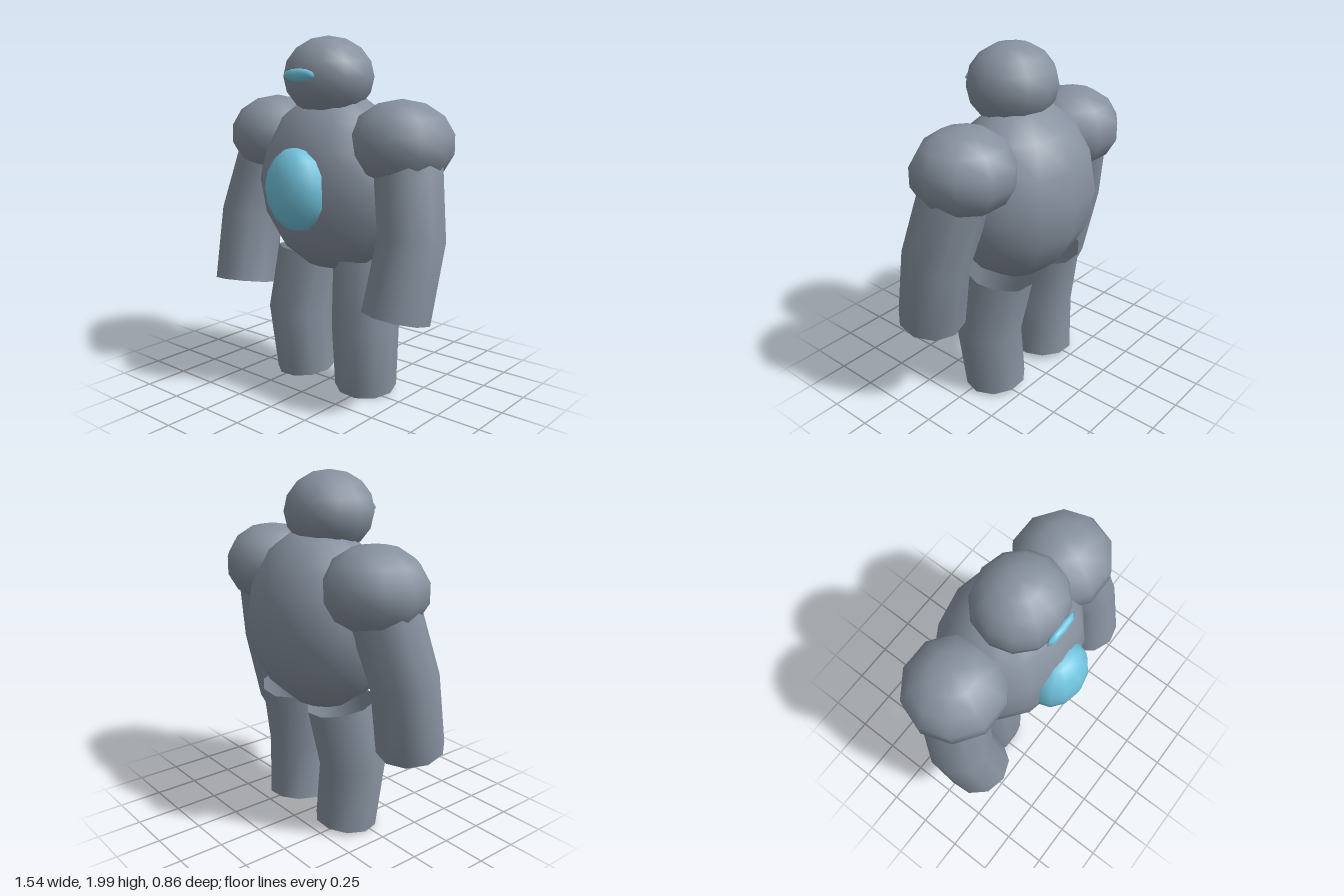
import * as THREE from 'three';

const stone = new THREE.MeshStandardMaterial({ color: 0x87919f, side: THREE.DoubleSide });
stone.name = 'slate grey';
const glow = new THREE.MeshStandardMaterial({ color: 0x72c4de });
glow.name = 'pale cyan';

// Smooth ellipsoid with its radii baked into the vertices
function ellipsoid(name, mat, center, radii, wSeg, hSeg) {
  const geo = new THREE.SphereGeometry(1, wSeg, hSeg).scale(...radii);
  const mesh = new THREE.Mesh(geo, mat);
  mesh.name = name;
  mesh.position.set(...center);
  return mesh;
}

// Open two-segment tube through three joints, with a radius at each joint
function limb(name, joints, radii) {
  const sides = 10;
  const curve = new THREE.CatmullRomCurve3(joints.map((p) => new THREE.Vector3(...p)));
  const geo = new THREE.TubeGeometry(curve, 2, 1, sides, false);
  const pos = geo.attributes.position;
  const v = new THREE.Vector3();
  for (let i = 0; i < pos.count; i++) {
    const ring = Math.floor(i / (sides + 1));
    const c = curve.getPointAt(ring / 2);
    v.fromBufferAttribute(pos, i).sub(c).multiplyScalar(radii[ring]).add(c);
    pos.setXYZ(i, v.x, v.y, v.z);
  }
  const mesh = new THREE.Mesh(geo, stone);
  mesh.name = name;
  return mesh;
}

export function createModel() {
  const model = new THREE.Group();
  model.name = 'golem';

  // Torso and head
  model.add(ellipsoid('torso', stone, [0, 1.19, -0.05], [0.48, 0.51, 0.38], 12, 8));
  model.add(ellipsoid('head', stone, [0, 1.78, 0.015], [0.26, 0.22, 0.245], 12, 8));

  // Glowing chest core and eye slit
  model.add(ellipsoid('chestCore', glow, [0, 1.185, 0.27], [0.197, 0.23, 0.155], 12, 8));
  model.add(ellipsoid('eyeSlit', glow, [0, 1.79, 0.255], [0.11, 0.035, 0.025], 8, 6));

  // Mirrored shoulders, arms and legs
  for (const [side, s] of [['left', 1], ['right', -1]]) {
    model.add(ellipsoid(side + 'Shoulder', stone, [s * 0.45, 1.435, -0.05], [0.29, 0.235, 0.28], 10, 7));
    model.add(limb(side + 'Arm',
      [[s * 0.5, 1.35, -0.04], [s * 0.59, 0.95, 0.045], [s * 0.56, 0.55, 0.13]],
      [0.19, 0.185, 0.19]));
    model.add(limb(side + 'Leg',
      [[s * 0.215, 0.755, -0.075], [s * 0.248, 0.38, -0.015], [s * 0.23, 0.028, -0.047]],
      [0.195, 0.19, 0.177]));
  }
  return model;
}
